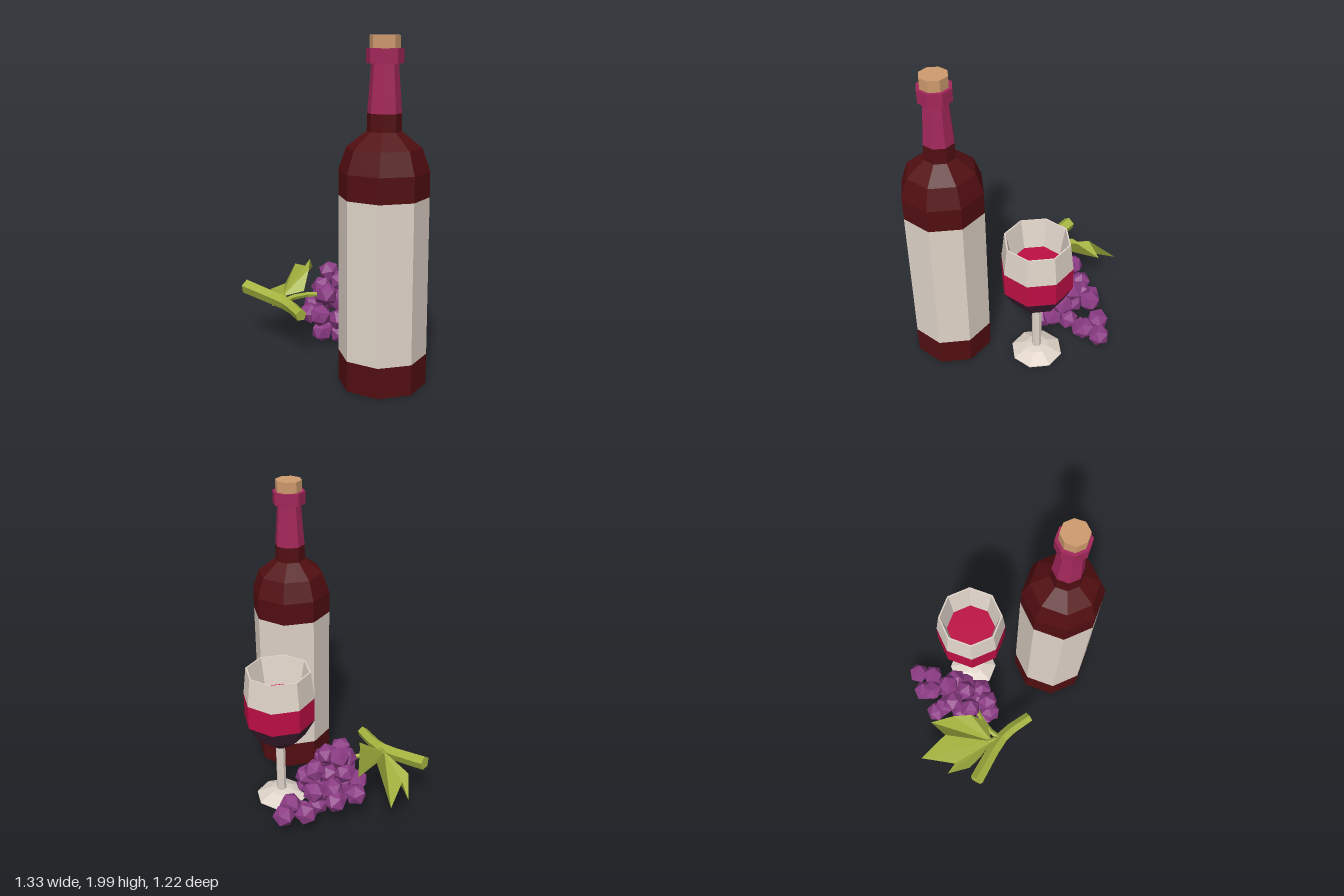
import * as THREE from 'three';

const TURN = 0.26; // shared rotation of the octagonal parts

function mat(name, color, side = THREE.FrontSide) {
  const m = new THREE.MeshStandardMaterial({ color, flatShading: true, side });
  m.name = name;
  return m;
}

function add(parent, name, geometry, material) {
  const mesh = new THREE.Mesh(geometry, material);
  mesh.name = name;
  parent.add(mesh);
  return mesh;
}

// Eight-sided turned part from [radius, height] pairs, listed upwards for an outer skin
function turned(profile) {
  const pts = profile.map(([r, y]) => new THREE.Vector2(r, y));
  return new THREE.LatheGeometry(pts, 8, TURN, Math.PI * 2);
}

// Capped cylinder bent along a curve, tapering from r0 to r1
function branch(points, r0, r1, sides, steps) {
  const curve = new THREE.CatmullRomCurve3(points.map(p => new THREE.Vector3(...p)));
  const geo = new THREE.CylinderGeometry(1, 1, 1, sides, steps);
  const pos = geo.attributes.position;
  const up = new THREE.Vector3(0, 1, 0);
  for (let i = 0; i < pos.count; i++) {
    const t = THREE.MathUtils.clamp(pos.getY(i) + 0.5, 0, 1);
    const r = r0 + (r1 - r0) * t;
    const T = curve.getTangent(t);
    const N = new THREE.Vector3().crossVectors(T, up).normalize();
    const B = new THREE.Vector3().crossVectors(N, T);
    const p = curve.getPoint(t)
      .addScaledVector(N, pos.getX(i) * r)
      .addScaledVector(B, pos.getZ(i) * r);
    pos.setXYZ(i, p.x, p.y, p.z);
  }
  geo.computeVertexNormals();
  return geo;
}

export function createModel() {
  const model = new THREE.Group();
  model.name = 'wineStillLife';
  const bottleRed = mat('bottle dark red', 0x520e11);
  const cream = mat('cream', 0xe0d4c9);
  const foilRed = mat('foil raspberry', 0xa3275a);
  const corkTan = mat('cork tan', 0xcf9b6e);
  const wineRed = mat('wine red', 0xbe0f44);
  const bowlDark = mat('dark plum', 0x3e2033);
  const grapePurple = mat('grape purple', 0x8c3c85);
  const green = mat('vine green', 0xa3b23e, THREE.DoubleSide);

  // Bottle
  const bottle = new THREE.Group();
  bottle.name = 'bottle';
  bottle.position.set(0.413, 0, 0.36);
  model.add(bottle);
  add(bottle, 'bottleBase', turned([[0, 0.01], [0.257, 0.01], [0.257, 0.19]]), bottleRed);
  add(bottle, 'bottleLabel', turned([[0.257, 0.19], [0.257, 1.115]]), cream);
  add(bottle, 'bottleShoulder', turned([
    [0.257, 1.115], [0.257, 1.26], [0.212, 1.39], [0.098, 1.48], [0.096, 1.58]]), bottleRed);
  add(bottle, 'neckFoil', turned([[0.096, 1.58], [0.076, 1.85]]), foilRed);
  add(bottle, 'neckRing', turned([
    [0.07, 1.85], [0.105, 1.85], [0.105, 1.93], [0.08, 1.93]]), foilRed);
  add(bottle, 'cork', turned([[0.085, 1.925], [0.085, 2], [0, 2]]), corkTan);

  // Glass
  const glass = new THREE.Group();
  glass.name = 'wineGlass';
  glass.position.set(0.245, 0, -0.188);
  model.add(glass);
  add(glass, 'glassFoot', turned([
    [0, 0.008], [0.168, 0.008], [0.168, 0.014], [0.08, 0.055], [0.03, 0.065]]), cream);
  add(glass, 'glassStem', turned([[0.031, 0.06], [0.031, 0.41]]), cream);
  add(glass, 'lowerBowl', turned([
    [0, 0.4], [0.035, 0.4], [0.165, 0.505], [0.228, 0.62]]), bowlDark);
  add(glass, 'wineBand', turned([[0.228, 0.62], [0.228, 0.78]]), wineRed);
  add(glass, 'upperBowl', turned([
    [0.228, 0.78], [0.207, 0.965], [0.197, 0.965], [0.16, 0.77]]), cream);
  add(glass, 'wineSurface', turned([[0.165, 0.775], [0, 0.775]]), wineRed);

  // Grapes: x, y, z of each centre
  const grapes = new THREE.Group();
  grapes.name = 'grapeBunch';
  model.add(grapes);
  const centres = [
    [0.05, 0.155, -0.545], [-0.07, 0.16, -0.475], [0.055, 0.17, -0.44], [-0.09, 0.28, -0.4],
    [-0.21, 0.2, -0.34], [-0.045, 0.36, -0.29], [-0.18, 0.445, -0.215], [-0.075, 0.405, -0.16],
    [-0.3, 0.2, -0.22], [-0.18, 0.37, -0.1], [-0.005, 0.3, -0.06], [-0.1, 0.36, 0.005],
    [-0.13, 0.22, 0.03], [0.03, 0.28, -0.26], [0.055, 0.165, -0.2], [-0.045, 0.075, -0.09],
    [-0.15, 0.11, -0.16], [-0.05, 0.075, -0.26], [0, 0.1, -0.39], [-0.25, 0.19, -0.07],
    [-0.17, 0.25, -0.29], [-0.04, 0.18, -0.06], [-0.1, 0.2, -0.27], [-0.14, 0.1, -0.01],
    [0.05, 0.1, -0.11], [-0.2, 0.3, -0.16]];
  const grapeGeo = new THREE.IcosahedronGeometry(0.073, 0);
  centres.forEach((c, i) => {
    const grape = add(grapes, 'grape', grapeGeo, grapePurple);
    grape.position.set(...c);
    grape.rotation.set(i * 1.7, i * 2.3, i * 0.9);
  });

  // Vine stem and the two thin stalks
  add(model, 'vineStem', branch(
    [[-0.66, 0.36, 0.06], [-0.37, 0.325, 0.14], [-0.28, 0.32, 0.185], [-0.135, 0.312, 0.31]],
    0.047, 0.037, 5, 4), green);
  add(model, 'grapeStalk', branch(
    [[-0.335, 0.325, 0.15], [-0.28, 0.34, 0.04], [-0.14, 0.33, -0.08]], 0.02, 0.015, 5, 3), green);
  add(model, 'leafStalk', branch(
    [[-0.33, 0.325, 0.15], [-0.35, 0.34, 0.11], [-0.38, 0.35, 0.07]], 0.018, 0.012, 5, 2), green);

  // Leaf: a fan from its root, tips drooping and notches raised
  const root = [-0.37, 0.34, 0.1];
  const edge = [
    [-0.47, 0.24, 0.045], [-0.575, 0.3, -0.01], [-0.63, 0.205, -0.155], [-0.57, 0.3, -0.115],
    [-0.58, 0.27, -0.35], [-0.43, 0.47, -0.21], [-0.355, 0.42, -0.33], [-0.305, 0.525, -0.18],
    [-0.26, 0.49, -0.07], [-0.25, 0.37, 0.03]];
  const verts = [];
  for (let i = 0; i + 1 < edge.length; i++) verts.push(...root, ...edge[i + 1], ...edge[i]);
  const leaf = new THREE.BufferGeometry();
  leaf.setAttribute('position', new THREE.Float32BufferAttribute(verts, 3));
  leaf.computeVertexNormals();
  add(model, 'vineLeaf', leaf, green);

  return model;
}
